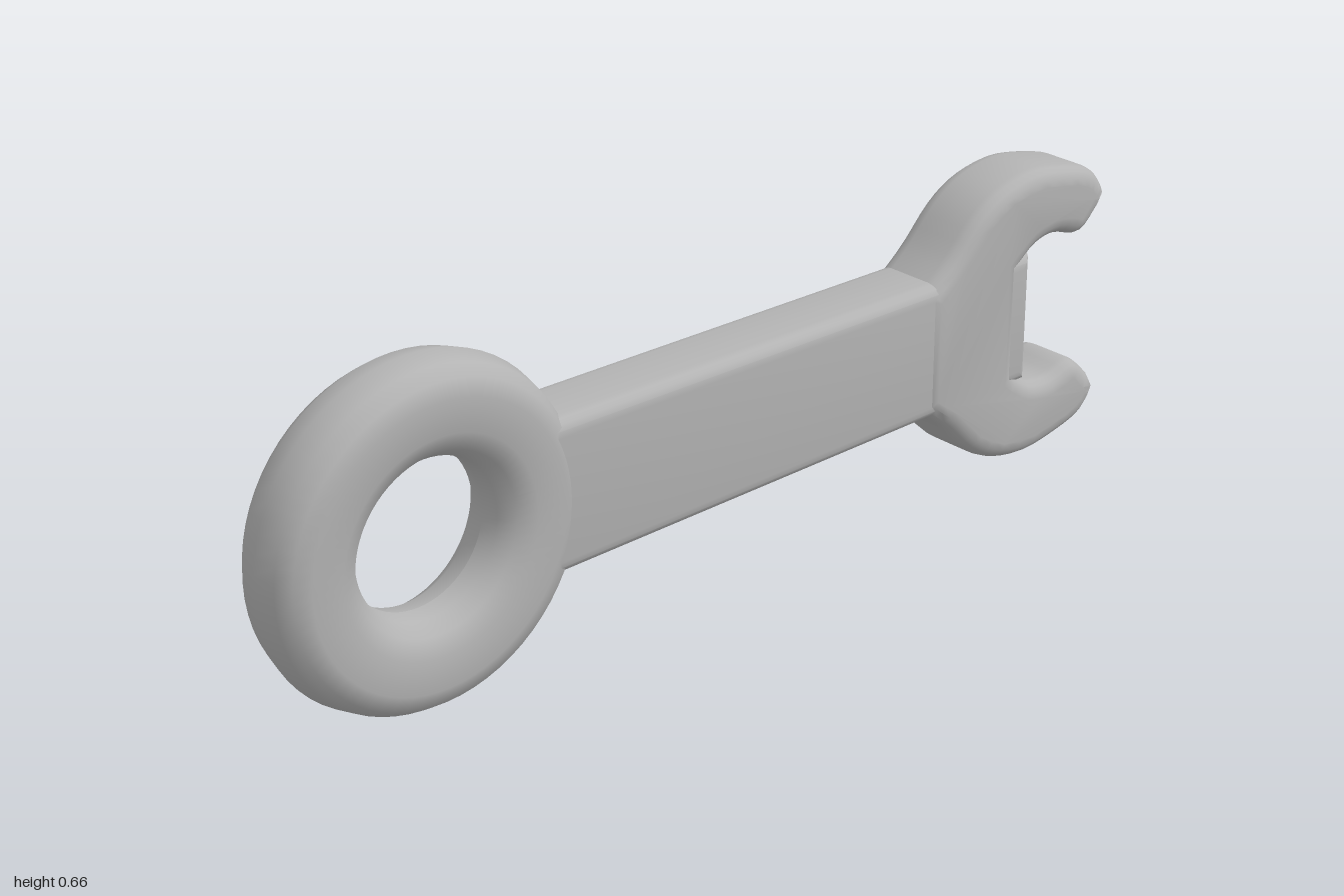
import * as THREE from 'three';
import { toCreasedNormals } from 'three/addons/utils/BufferGeometryUtils.js';

const MID = 0.333; // height of the long axis

// Extrude a front outline into a plate with rounded edges, centred on z = 0
function plate(shape, halfDepth, round) {
  const geo = new THREE.ExtrudeGeometry(shape, {
    depth: 2 * (halfDepth - round),
    bevelEnabled: true,
    bevelSize: round,
    bevelThickness: round,
    bevelOffset: -round,
    bevelSegments: 4,
  });
  geo.translate(0, 0, -(halfDepth - round));
  return toCreasedNormals(geo, 0.6);
}

export function createModel() {
  const group = new THREE.Group();
  const metal = new THREE.MeshStandardMaterial({ color: 0xb3b3b3 });
  metal.name = 'grey metal';

  const add = (name, geo, x = 0) => {
    const mesh = new THREE.Mesh(geo, metal);
    mesh.name = name;
    mesh.position.set(x, MID, 0);
    group.add(mesh);
  };

  // Closed ring: rounded section (radius, depth) turned about the z axis
  const section = [
    [0.145, 0], [0.15, -0.035], [0.17, -0.064], [0.205, -0.08], [0.268, -0.082],
    [0.3, -0.072], [0.318, -0.045], [0.329, 0], [0.318, 0.045], [0.3, 0.072],
    [0.268, 0.082], [0.205, 0.08], [0.17, 0.064], [0.15, 0.035], [0.145, 0],
  ].map(([r, z]) => new THREE.Vector2(r, z));
  const ring = new THREE.LatheGeometry(section, 64);
  ring.rotateX(Math.PI / 2);
  add('ringEnd', ring, -0.671);

  // Straight handle, its square end forming the seat between the jaws
  const bar = new THREE.Shape([
    [-0.47, -0.15], [0.787, -0.138], [0.787, 0.138], [-0.47, 0.15],
  ].map(([x, y]) => new THREE.Vector2(x, y)));
  add('handle', plate(bar, 0.078, 0.03));

  // Open head: upper half outline, mirrored for the lower jaw
  const outer = new THREE.SplineCurve([
    [0.49, 0.12], [0.56, 0.175], [0.63, 0.245], [0.7, 0.285], [0.79, 0.302],
    [0.88, 0.29], [0.95, 0.27], [0.985, 0.24], [1.0, 0.21],
  ].map(([x, y]) => new THREE.Vector2(x, y))).getPoints(28);
  const inner = new THREE.SplineCurve([
    [0.985, 0.183], [0.93, 0.137], [0.86, 0.153], [0.8, 0.145], [0.75, 0.11],
  ].map(([x, y]) => new THREE.Vector2(x, y))).getPoints(16);
  const upper = [...outer, ...inner];
  const lower = upper.map((p) => new THREE.Vector2(p.x, -p.y)).reverse();
  add('openJaws', plate(new THREE.Shape([...upper, ...lower]), 0.081, 0.035));

  return group;
}
